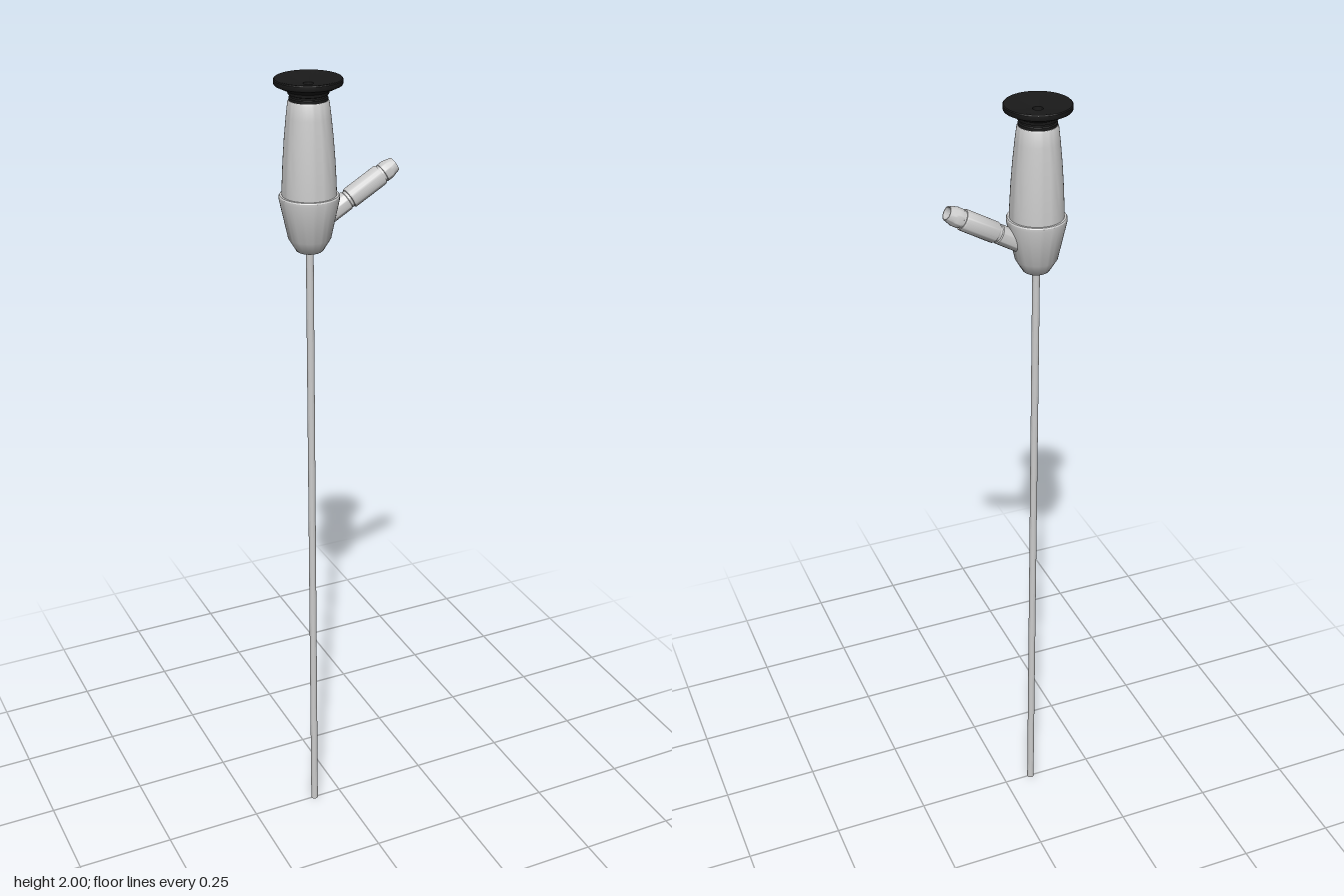
import * as THREE from 'three';
import { toCreasedNormals } from 'three/addons/utils/BufferGeometryUtils.js';

const AXIS_X = -0.075;

// Solid of revolution from [radius, height] pairs, listed bottom to top
function turned(name, profile, material, segments = 48) {
  const points = profile.map(([r, y]) => new THREE.Vector2(r, y));
  const geometry = toCreasedNormals(new THREE.LatheGeometry(points, segments), 0.5);
  const mesh = new THREE.Mesh(geometry, material);
  mesh.name = name;
  return mesh;
}

export function createModel() {
  const model = new THREE.Group();
  model.name = 'endoscope';
  const grey = new THREE.MeshStandardMaterial({ color: 0xcccccc });
  const black = new THREE.MeshStandardMaterial({ color: 0x1a1a1a });

  // Everything on the main optical axis
  const scope = new THREE.Group();
  scope.name = 'scopeBody';
  scope.position.x = AXIS_X;
  model.add(scope);

  // Long thin insertion tube with a lens at its lower end
  scope.add(turned('shaft', [[0.006, 0.003], [0.006, 0], [0.009, 0], [0.009, 1.61]], grey, 32));
  scope.add(turned('tipLens', [[0, 0.002], [0.0065, 0.002]], black, 32));

  // Tapered hub that carries the light port
  scope.add(turned('hub', [
    [0, 1.6], [0.029, 1.6], [0.032, 1.602], [0.05, 1.632],
    [0.07, 1.725], [0.07, 1.732], [0.068, 1.735], [0.06, 1.735],
  ], grey));

  // Slightly bulging grip
  scope.add(turned('grip', [
    [0.063, 1.733], [0.0625, 1.76], [0.06, 1.81], [0.056, 1.865],
    [0.051, 1.915], [0.047, 1.948], [0.045, 1.952], [0, 1.952],
  ], grey));

  // Eyepiece: neck, flared rim and dished top with a central window
  scope.add(turned('eyepiece', [
    [0.04, 1.945], [0.044, 1.947], [0.044, 1.958], [0.041, 1.96], [0.041, 1.964],
    [0.046, 1.966], [0.048, 1.973], [0.0765, 1.987], [0.0775, 1.989],
    [0.0775, 1.998], [0.0755, 2], [0.07, 2], [0.012, 1.988], [0.012, 1.98], [0, 1.98],
  ], black, 64));

  // Side light port, leaning up to the model's left; local y = 0 is its open end
  const port = turned('lightPort', [
    [0.023, -0.2], [0.023, -0.142], [0.021, -0.14], [0.021, -0.134],
    [0.0235, -0.133], [0.025, -0.13], [0.025, -0.044], [0.0235, -0.041],
    [0.021, -0.041], [0.021, -0.036], [0.0225, -0.035], [0.0225, -0.02],
    [0.0205, -0.013], [0.017, 0], [0.0145, 0], [0.0125, -0.012], [0.0125, -0.025], [0, -0.025],
  ], grey);
  port.position.set(0.1415, 1.778, 0);
  port.rotation.z = -Math.PI / 3;
  model.add(port);

  return model;
}
